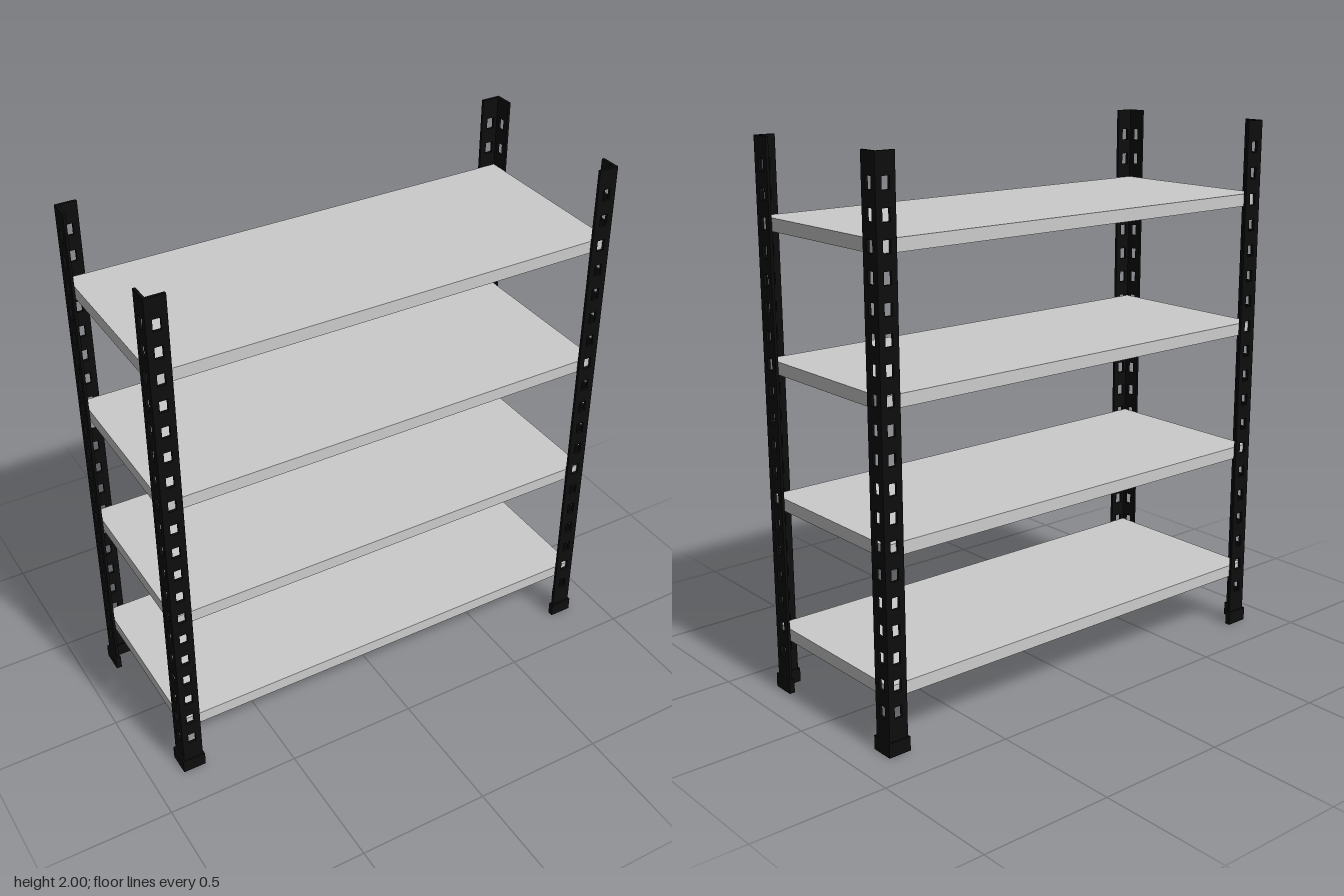
import * as THREE from 'three';

const HALF_X = 0.874, HALF_Z = 0.348;   // outer corner of the posts
const FLANGE = 0.075, THICK = 0.01;

// Flat plate in x from -width to -inset, with optional slots
function plate(inset, width, y0, y1, thick, slots) {
  const s = new THREE.Shape();
  s.moveTo(-width, y0);
  s.lineTo(-inset, y0);
  s.lineTo(-inset, y1);
  s.lineTo(-width, y1);
  s.closePath();
  for (let i = 0; i < slots; i++) {
    const cx = -0.038, cy = 0.153 + i * 0.0972, hw = 0.0145, hh = 0.021;
    const h = new THREE.Path();
    h.moveTo(cx - hw, cy - hh);
    h.lineTo(cx - hw, cy + hh);
    h.lineTo(cx + hw, cy + hh);
    h.lineTo(cx + hw, cy - hh);
    h.closePath();
    s.holes.push(h);
  }
  return new THREE.ExtrudeGeometry(s, { depth: thick, bevelEnabled: false });
}

// Two plates forming an L, corner at the origin, arms along -x and -z
function angle(name, width, y0, y1, thick, slots, material) {
  const g = new THREE.Group();
  g.name = name;
  const a = new THREE.Mesh(plate(0, width, y0, y1, thick, slots).translate(0, 0, -thick), material);
  const b = new THREE.Mesh(plate(thick, width, y0, y1, thick, slots).rotateY(-Math.PI / 2), material);
  a.name = name + 'FlangeX';
  b.name = name + 'FlangeZ';
  g.add(a, b);
  return g;
}

export function createModel() {
  const model = new THREE.Group();
  model.name = 'shelvingUnit';
  const black = new THREE.MeshStandardMaterial({ color: 0x0d0d0d });
  const grey = new THREE.MeshStandardMaterial({ color: 0xcccccc });

  // Four slotted angle posts with plastic feet, turned to face each corner
  for (let i = 0; i < 4; i++) {
    const corner = new THREE.Group();
    corner.name = 'cornerPost' + (i + 1);
    corner.add(angle('post', FLANGE, 0.004, 2, THICK, 19, black));
    const foot = angle('foot', 0.087, 0, 0.052, 0.021, 0, black);
    foot.position.set(0.006, 0, 0.006);
    corner.add(foot);
    corner.rotation.y = i * Math.PI / 2;
    corner.position.set(i < 2 ? HALF_X : -HALF_X, 0, i === 0 || i === 3 ? HALF_Z : -HALF_Z);
    model.add(corner);
  }

  // Four shelves held inside the posts
  const shelfGeo = new THREE.BoxGeometry((HALF_X - THICK) * 2, 0.046, (HALF_Z - THICK) * 2);
  for (let i = 0; i < 4; i++) {
    const shelf = new THREE.Mesh(shelfGeo, grey);
    shelf.name = 'shelf' + (i + 1);
    shelf.position.y = 0.226 + i * 0.494;
    model.add(shelf);
  }
  return model;
}
